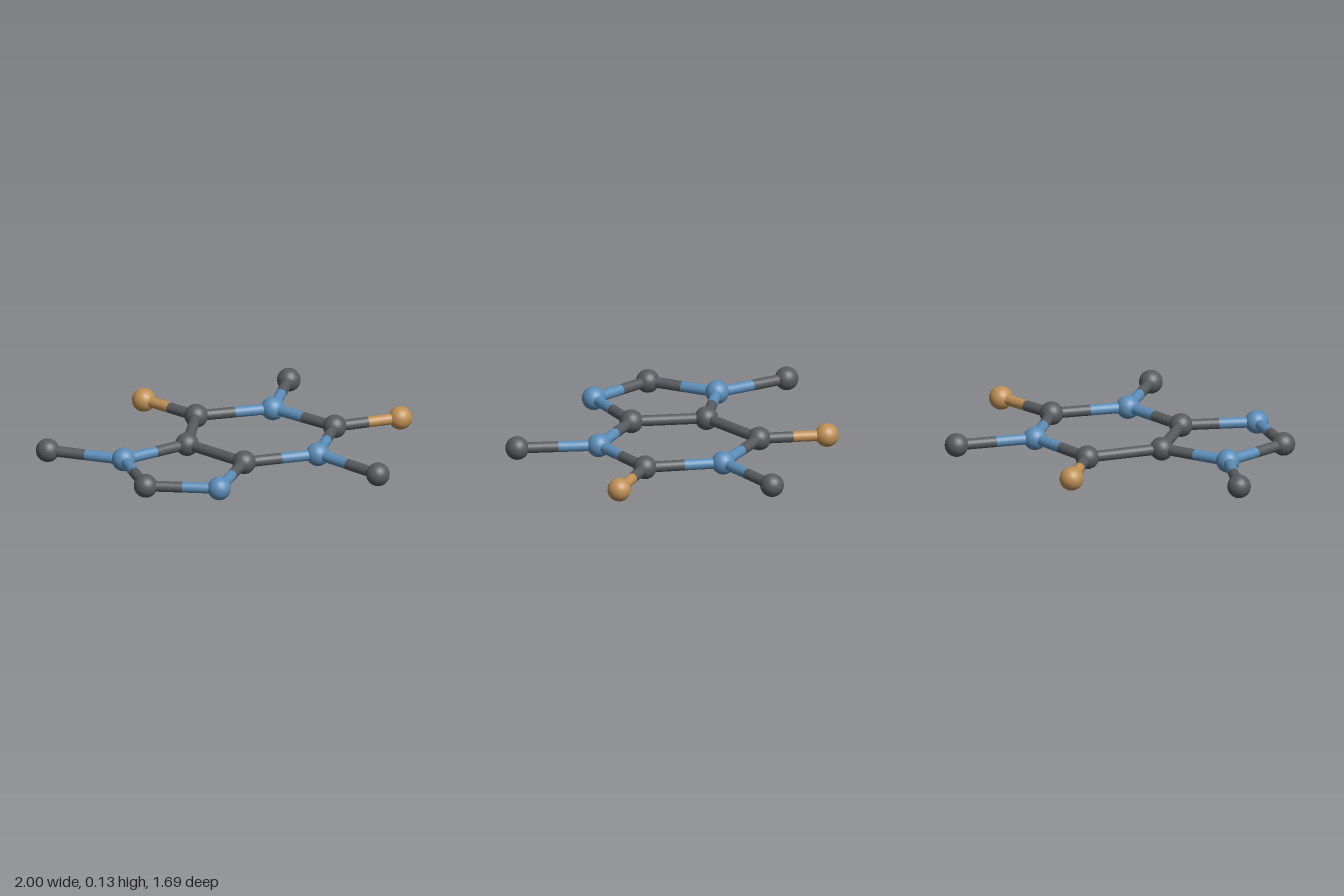
import * as THREE from 'three';

const ATOM_RADIUS = 0.063;
const BOND_RADIUS = 0.029;

const materials = {
  carbon: new THREE.MeshStandardMaterial({ color: 0x575a5e }),
  nitrogen: new THREE.MeshStandardMaterial({ color: 0x5b8db8 }),
  oxygen: new THREE.MeshStandardMaterial({ color: 0xbf9055 }),
};

// Atoms of the flat molecule: element, x, z
const atoms = {
  c2: ['carbon', 0.57, 0.05],
  c4: ['carbon', -0.108, 0.28],
  c5: ['carbon', -0.245, -0.10],
  c6: ['carbon', 0, -0.443],
  c8: ['carbon', -0.735, 0.332],
  n1: ['nitrogen', 0.408, -0.34],
  n3: ['nitrogen', 0.293, 0.366],
  n7: ['nitrogen', -0.65, -0.066],
  n9: ['nitrogen', -0.41, 0.553],
  o2: ['oxygen', 0.937, 0.108],
  o6: ['oxygen', -0.132, -0.783],
  m1: ['carbon', 0.688, -0.67],
  m3: ['carbon', 0.43, 0.78],
  m7: ['carbon', -0.938, -0.38],
};

const bonds = [
  // six-sided ring
  ['n1', 'c2'], ['c2', 'n3'], ['n3', 'c4'], ['c4', 'c5'], ['c5', 'c6'], ['c6', 'n1'],
  // five-sided ring
  ['c5', 'n7'], ['n7', 'c8'], ['c8', 'n9'], ['n9', 'c4'],
  // side branches
  ['c2', 'o2'], ['c6', 'o6'], ['n1', 'm1'], ['n3', 'm3'], ['n7', 'm7'],
];

const position = (id) => new THREE.Vector3(atoms[id][1], ATOM_RADIUS, atoms[id][2]);

// Rod from one atom to the middle of its bond, in that atom's colour
function halfBond(from, to) {
  const a = position(from);
  const mid = a.clone().lerp(position(to), 0.5);
  const dir = mid.clone().sub(a);
  const rod = new THREE.Mesh(
    new THREE.CylinderGeometry(BOND_RADIUS, BOND_RADIUS, dir.length(), 24),
    materials[atoms[from][0]],
  );
  rod.position.copy(a).lerp(mid, 0.5);
  rod.quaternion.setFromUnitVectors(new THREE.Vector3(0, 1, 0), dir.normalize());
  rod.name = `${atoms[from][0]}HalfBond`;
  return rod;
}

export function createModel() {
  const model = new THREE.Group();
  model.name = 'molecule';

  // Atom balls
  const ball = new THREE.SphereGeometry(ATOM_RADIUS, 32, 24);
  for (const id of Object.keys(atoms)) {
    const element = atoms[id][0];
    const atom = new THREE.Mesh(ball, materials[element]);
    atom.position.copy(position(id));
    atom.name = `${element}Atom`;
    model.add(atom);
  }

  // Two-coloured bonds
  for (const [a, b] of bonds) {
    const bond = new THREE.Group();
    bond.name = 'bond';
    bond.add(halfBond(a, b), halfBond(b, a));
    model.add(bond);
  }
  return model;
}
